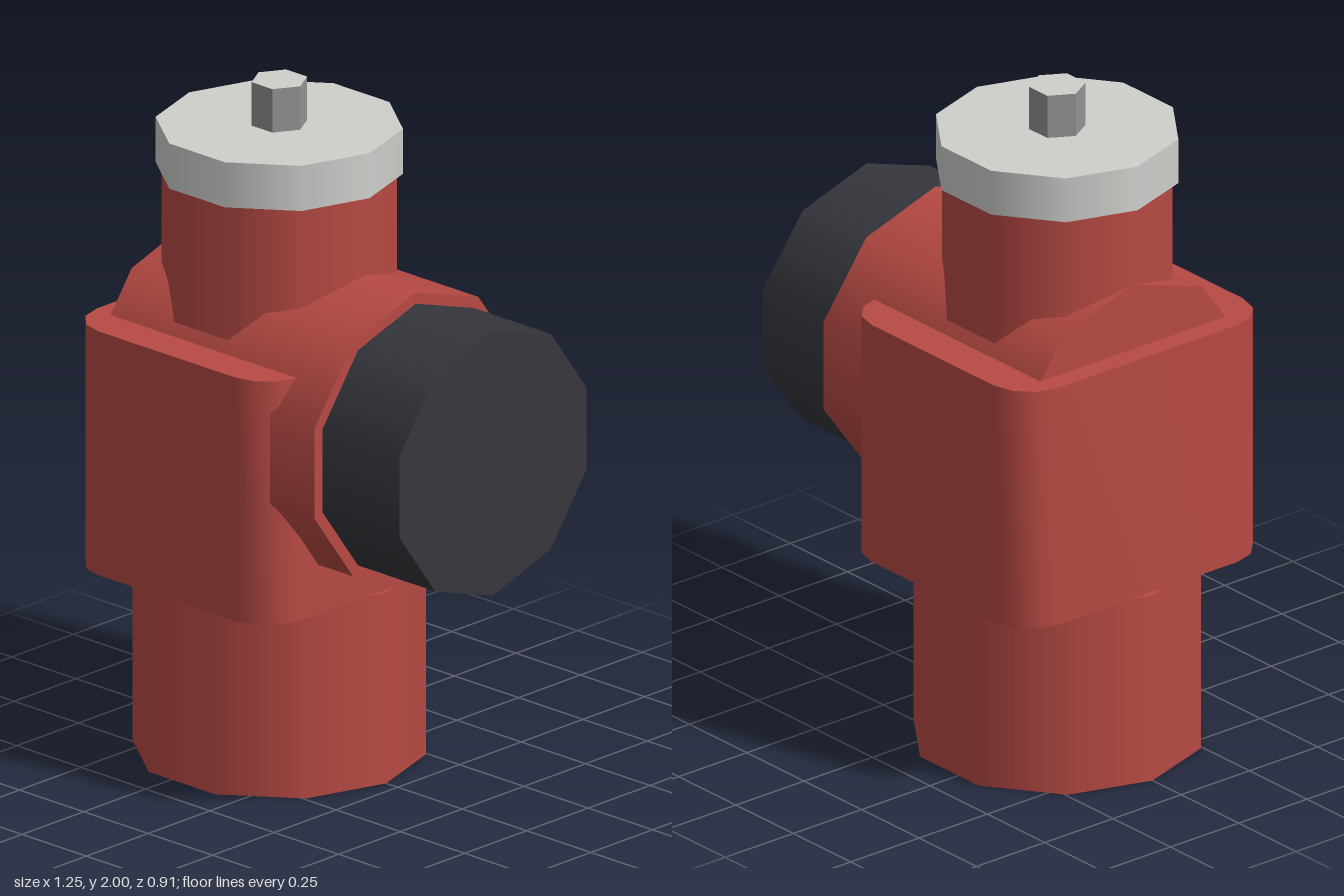
import * as THREE from 'three';
import { toCreasedNormals } from 'three/addons/utils/BufferGeometryUtils.js';

const AXIS_X = -0.21; // vertical axis of the valve
const PORT_Y = 1.068; // height of the side port axis

function material(name, color) {
  const m = new THREE.MeshStandardMaterial({ color });
  m.name = name;
  return m;
}

export function createModel() {
  const group = new THREE.Group();
  const red = material('red body', 0xb84a44);
  const light = material('light grey metal', 0xcfcfcc);
  const grey = material('grey metal', 0x949494);
  const dark = material('dark plastic', 0x36373d);

  function add(name, geometry, mat) {
    const mesh = new THREE.Mesh(geometry, mat);
    mesh.name = name;
    group.add(mesh);
    return mesh;
  }

  // Upright cylinder between two heights, with a corner pointing along x
  function upright(name, radius, y0, y1, mat) {
    const g = new THREE.CylinderGeometry(radius, radius, y1 - y0, 10);
    g.rotateY(Math.PI / 2).translate(AXIS_X, (y0 + y1) / 2, 0);
    return add(name, g, mat);
  }

  // Sideways cylinder between two x positions, with a corner pointing up
  function sideways(name, radius, x0, x1, mat) {
    const g = new THREE.CylinderGeometry(radius, radius, x1 - x0, 10);
    g.rotateY(Math.PI / 2).rotateZ(-Math.PI / 2).translate((x0 + x1) / 2, PORT_Y, 0);
    return add(name, g, mat);
  }

  upright('lowerPort', 0.415, 0, 0.57, red);
  upright('neck', 0.333, 1.1, 1.735, red);
  upright('topCap', 0.35, 1.735, 1.87, light);
  sideways('sidePort', 0.432, -0.54, 0.32, red);
  sideways('sidePortCap', 0.398, 0.32, 0.62, dark);

  // Block with rounded upright edges
  const hx = 0.395, hz = 0.456, r = 0.13;
  const outline = new THREE.Shape();
  outline.absarc(hx - r, hz - r, r, 0, Math.PI / 2);
  outline.absarc(-hx + r, hz - r, r, Math.PI / 2, Math.PI);
  outline.absarc(-hx + r, -hz + r, r, Math.PI, Math.PI * 1.5);
  outline.absarc(hx - r, -hz + r, r, Math.PI * 1.5, Math.PI * 2);
  outline.closePath();
  // curveSegments counts are doubled on arcs, so the corners are sampled by hand
  const points = [];
  for (let corner = 0; corner < 4; corner++) {
    const sx = corner === 0 || corner === 3 ? 1 : -1;
    const sz = corner < 2 ? 1 : -1;
    for (let i = 0; i <= 3; i++) {
      const a = (corner + i / 3) * Math.PI / 2;
      points.push(new THREE.Vector2(sx * (hx - r) + r * Math.cos(a), sz * (hz - r) + r * Math.sin(a)));
    }
  }
  let block = new THREE.ExtrudeGeometry(new THREE.Shape(points), { depth: 0.73, bevelEnabled: false });
  block.rotateX(-Math.PI / 2).translate(AXIS_X, 0.57, 0);
  block.clearGroups();
  add('bodyBlock', toCreasedNormals(block, Math.PI / 4), red);

  // Hexagonal stem: grey sides, light top
  let stem = new THREE.CylinderGeometry(0.081, 0.081, 0.13, 6);
  stem.rotateY(Math.PI / 2).translate(AXIS_X, 1.935, 0);
  stem = toCreasedNormals(stem, Math.PI / 6);
  add('stem', stem, [grey, light, grey]);

  return group;
}
